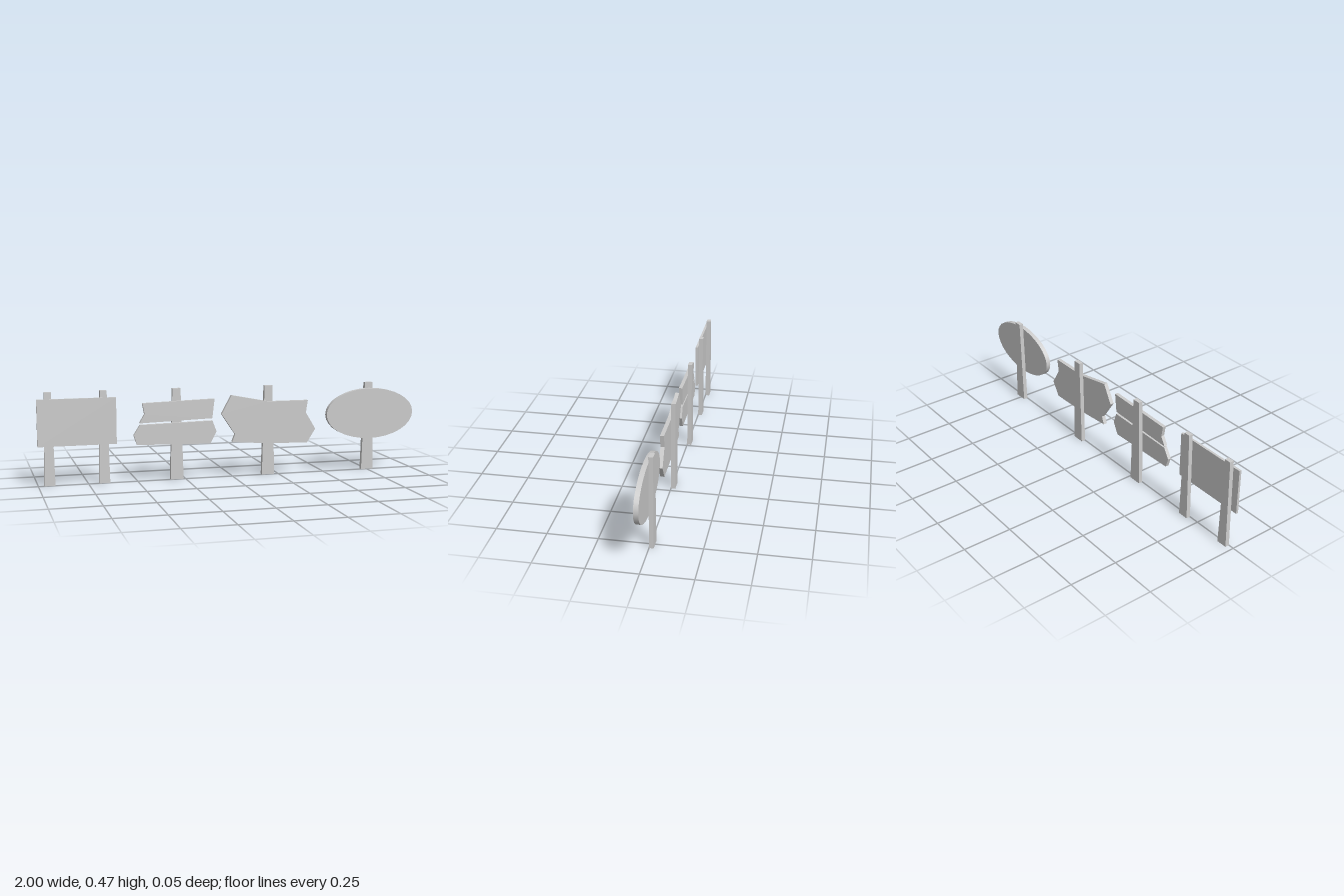
import * as THREE from 'three';

const material = new THREE.MeshStandardMaterial({ color: 0xcccccc });
const HEIGHT = 0.47;

// Flat plank cut from an outline, its back resting on z = 0
function plank(name, points, depth) {
  const shape = new THREE.Shape(points.map(([x, y]) => new THREE.Vector2(x, y)));
  const geometry = new THREE.ExtrudeGeometry(shape, { depth, bevelEnabled: false });
  const mesh = new THREE.Mesh(geometry, material);
  mesh.name = name;
  return mesh;
}

// Post that narrows towards the top, behind the boards
function post(x, bottomWidth, topWidth) {
  const b = bottomWidth / 2, t = topWidth / 2;
  const mesh = plank('post', [[-b, 0], [b, 0], [t, HEIGHT], [-t, HEIGHT]], 0.022);
  mesh.position.set(x, 0, -0.022);
  return mesh;
}

function sign(name, ...parts) {
  const group = new THREE.Group();
  group.name = name;
  group.add(...parts);
  return group;
}

export function createModel() {
  const model = new THREE.Group();
  model.name = 'woodenSigns';

  // Rectangular notice board on two posts
  model.add(sign('noticeBoard',
    post(-0.943, 0.055, 0.034),
    post(-0.668, 0.055, 0.034),
    plank('board', [[-1, 0.2], [-0.606, 0.2], [-0.606, 0.436], [-1, 0.436]], 0.012)));

  // Two crooked planks on one post
  model.add(sign('doublePlankSign',
    post(-0.295, 0.068, 0.042),
    plank('upperPlank', [
      [-0.474, 0.401], [-0.464, 0.345], [-0.49, 0.3], [-0.112, 0.312], [-0.1, 0.412],
    ], 0.018),
    plank('lowerPlank', [
      [-0.488, 0.291], [-0.52, 0.24], [-0.504, 0.19], [-0.122, 0.181], [-0.09, 0.243], [-0.111, 0.299],
    ], 0.018)));

  // Wide board with a pointed end and notched corners
  model.add(sign('pointedSign',
    post(0.194, 0.068, 0.042),
    plank('board', [
      [-0.01, 0.427], [-0.063, 0.331], [0.009, 0.224], [-0.007, 0.184], [0.19, 0.168],
      [0.402, 0.164], [0.447, 0.235], [0.394, 0.323], [0.404, 0.388], [0.19, 0.388],
    ], 0.02)));

  // Oval board with a smooth rim
  const depth = 0.024;
  const oval = new THREE.Mesh(
    new THREE.CylinderGeometry(1, 1, depth, 32).rotateX(Math.PI / 2).scale(0.245, 0.134, 1),
    material);
  oval.name = 'ovalBoard';
  oval.position.set(0.754, 0.306, depth / 2);
  model.add(sign('ovalSign', post(0.753, 0.068, 0.042), oval));

  return model;
}
